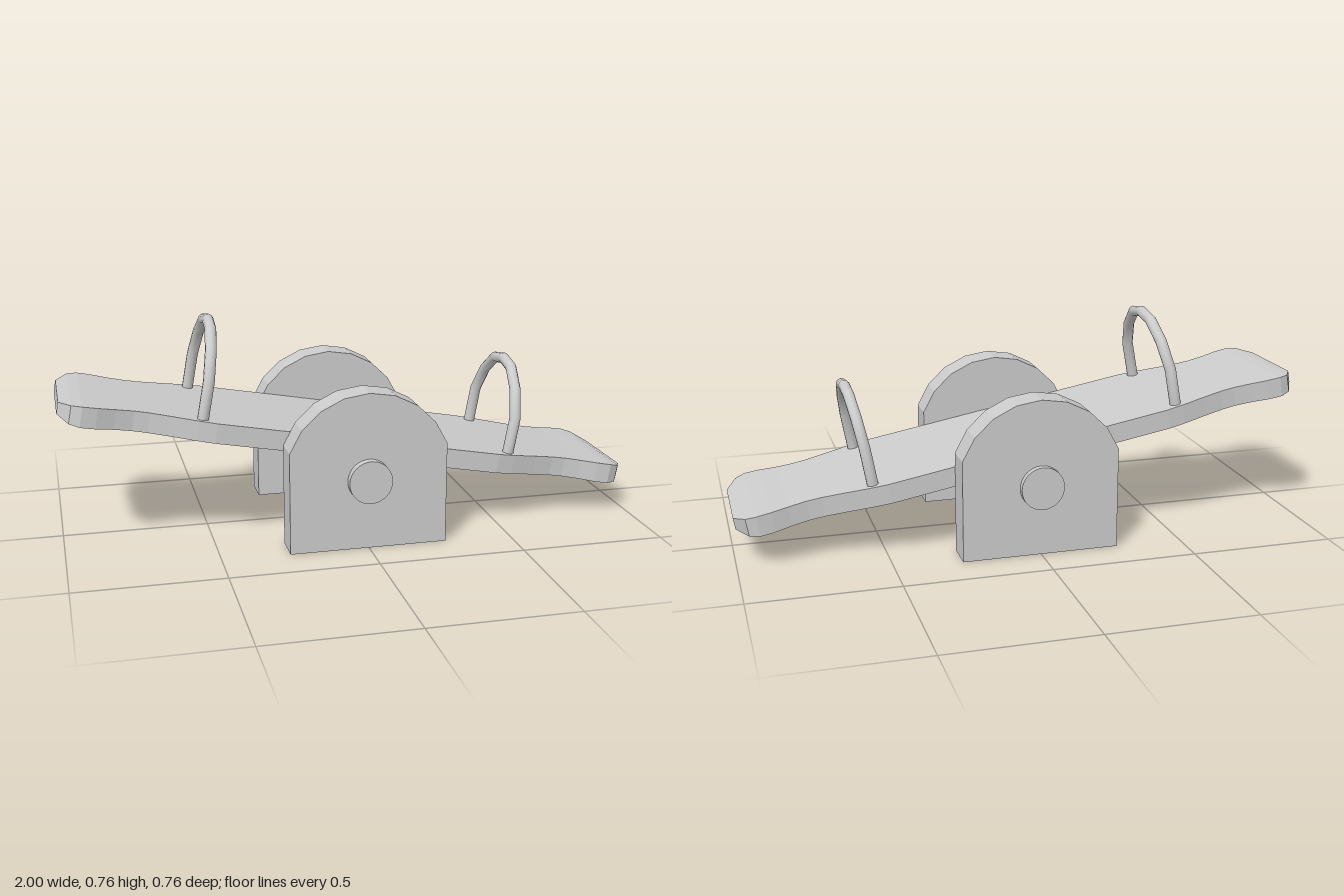
import * as THREE from 'three';

const material = new THREE.MeshStandardMaterial({ color: 0xcccccc });
const Z_MID = -0.003;
const TILT = 0.181;

function part(name, geometry) {
  const mesh = new THREE.Mesh(geometry, material);
  mesh.name = name;
  return mesh;
}

// Plank lofted from rectangular sections: [distance from centre, half width, half thickness]
function plankGeometry() {
  const half = [
    [0.5, 0.2525, 0.034], [0.56, 0.243, 0.034], [0.65, 0.222, 0.034], [0.72, 0.208, 0.034],
    [0.77, 0.205, 0.034], [0.83, 0.213, 0.034], [0.89, 0.227, 0.035], [0.94, 0.2305, 0.035],
    [0.975, 0.214, 0.031], [1.013, 0.146, 0.02],
  ];
  const mirrored = half.map(([x, w, t]) => [-x, w, t]).reverse();
  const rings = [...mirrored, ...half].map(([x, w, t]) =>
    [[x, -t, -w], [x, -t, w], [x, t, w], [x, t, -w]]);
  const pos = [];
  const quad = (a, b, c, d) => pos.push(...a, ...b, ...c, ...a, ...c, ...d);
  for (let i = 0; i < rings.length - 1; i++) {
    const p = rings[i], q = rings[i + 1];
    for (let k = 0; k < 4; k++) {
      const n = (k + 1) % 4;
      quad(p[k], q[k], q[n], p[n]);
    }
  }
  const [a, b, c, d] = rings[0];
  quad(a, b, c, d);
  const [e, f, g, h] = rings[rings.length - 1];
  quad(h, g, f, e);
  const geometry = new THREE.BufferGeometry();
  geometry.setAttribute('position', new THREE.Float32BufferAttribute(pos, 3));
  geometry.computeVertexNormals();
  return geometry;
}

// Curve that steps through its points one by one, for a faceted bent tube
class Polyline extends THREE.Curve {
  constructor(points) {
    super();
    this.points = points;
  }
  getUtoTmapping(u) {
    return u;
  }
  getPoint(t, target = new THREE.Vector3()) {
    const s = t * (this.points.length - 1);
    const i = Math.min(Math.floor(s), this.points.length - 2);
    return target.lerpVectors(this.points[i], this.points[i + 1], s - i);
  }
}

function handleGeometry() {
  const side = [[0.211, -0.01], [0.211, 0.128], [0.158, 0.218], [0.082, 0.279]];
  const points = [
    ...side.map(([z, y]) => new THREE.Vector3(0, y, z)),
    new THREE.Vector3(0, 0.294, 0),
    ...side.map(([z, y]) => new THREE.Vector3(0, y, -z)).reverse(),
  ];
  return new THREE.TubeGeometry(new Polyline(points), points.length - 1, 0.0195, 10, false);
}

// Upright panel with a rounded top
function panelGeometry() {
  const w = 0.27, cy = 0.253, r = 0.287, depth = 0.107;
  const start = Math.atan2(0.35 - cy, w);
  const shape = new THREE.Shape();
  shape.moveTo(-w, 0);
  shape.lineTo(w, 0);
  for (let i = 0; i <= 8; i++) {
    const a = start + (Math.PI - 2 * start) * i / 8;
    shape.lineTo(r * Math.cos(a), cy + r * Math.sin(a));
  }
  return new THREE.ExtrudeGeometry(shape, { depth, bevelEnabled: false })
    .translate(0, 0, -depth / 2);
}

export function createModel() {
  const model = new THREE.Group();
  model.name = 'seesaw';

  // Tilted plank with its two handles
  const rocker = new THREE.Group();
  rocker.name = 'rocker';
  rocker.position.set(0, 0.316, Z_MID);
  rocker.rotation.z = -TILT;
  rocker.add(part('plank', plankGeometry()));
  for (const s of [1, -1]) {
    const handle = part(s > 0 ? 'leftHandle' : 'rightHandle', handleGeometry());
    handle.position.set(s * 0.545, 0.034, 0);
    rocker.add(handle);
  }
  model.add(rocker);

  // Side panels
  for (const s of [1, -1]) {
    const panel = part(s > 0 ? 'frontPanel' : 'backPanel', panelGeometry());
    panel.position.z = Z_MID + s * 0.3035;
    model.add(panel);
  }

  // Axle running through both panels
  const axle = part('axle', new THREE.CylinderGeometry(0.074, 0.074, 0.764, 32).rotateX(Math.PI / 2));
  axle.position.y = 0.24;
  model.add(axle);

  return model;
}
